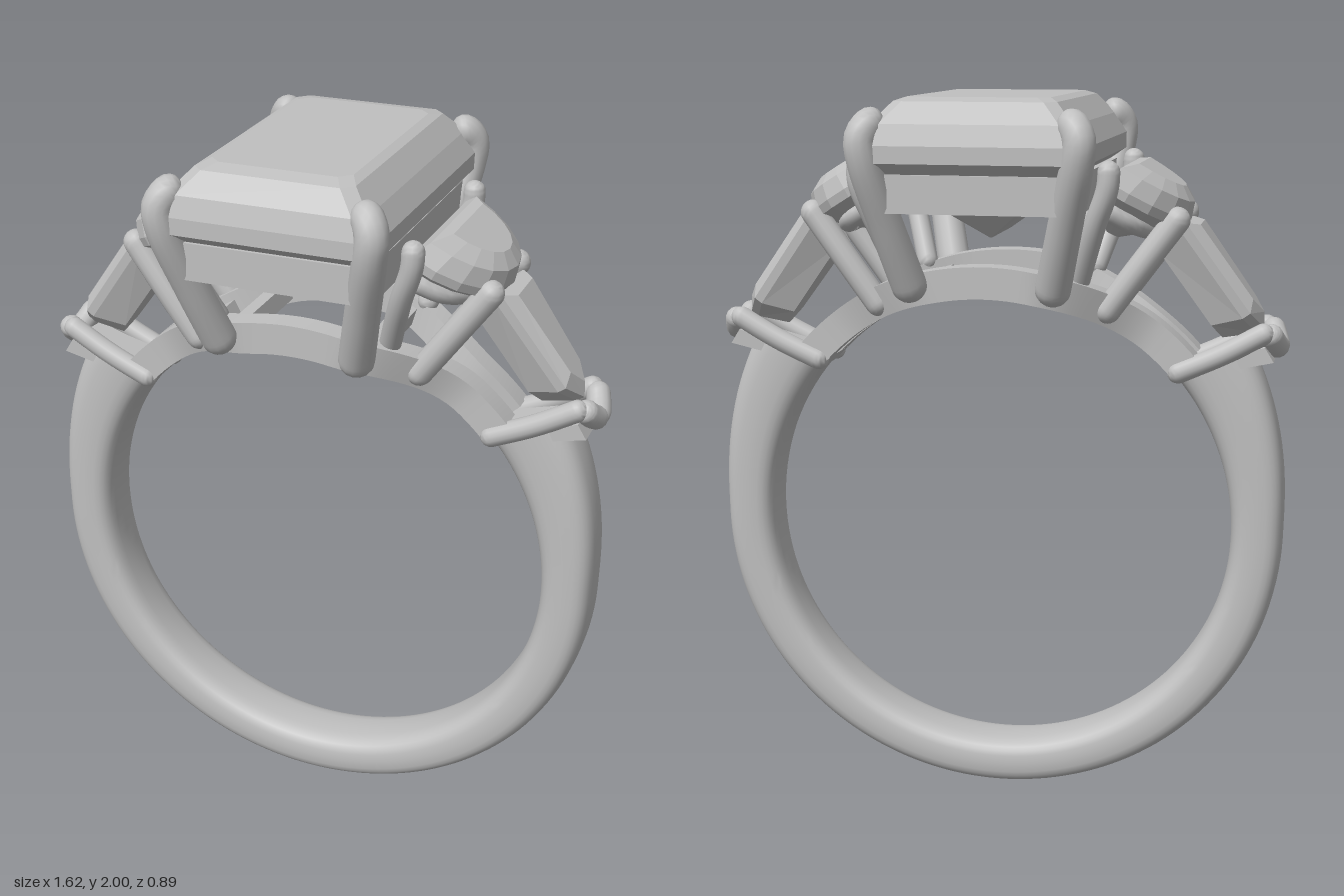
import * as THREE from 'three';
import { toCreasedNormals } from 'three/addons/utils/BufferGeometryUtils.js';

const metal = new THREE.MeshStandardMaterial({ color: 0xc0c0c0 });
metal.name = 'silver grey';
const V = (x, y, z) => new THREE.Vector3(x, y, z);
const CY = 0.8, INNER = 0.665; // finger hole centre height and radius
const DEG = Math.PI / 180;

// Skin a list of equal-length rings, closing both ends; faces are turned outward by signed volume
function loft(rings, crease) {
  const n = rings[0].length, pts = rings.flat(), idx = [];
  for (let i = 0; i < rings.length - 1; i++)
    for (let j = 0; j < n; j++) {
      const a = i * n + j, b = i * n + (j + 1) % n;
      idx.push(a, b, b + n, a, b + n, a + n);
    }
  [0, rings.length - 1].forEach((k, end) => {
    const c = pts.length, mid = V(0, 0, 0);
    rings[k].forEach(p => mid.addScaledVector(p, 1 / n));
    pts.push(mid);
    for (let j = 0; j < n; j++) {
      const a = k * n + j, b = k * n + (j + 1) % n;
      if (end) idx.push(c, a, b); else idx.push(c, b, a);
    }
  });
  let volume = 0;
  const cross = V(0, 0, 0), ref = pts[pts.length - 1];
  for (let i = 0; i < idx.length; i += 3) {
    const [a, b, c] = [0, 1, 2].map(k => pts[idx[i + k]].clone().sub(ref));
    volume += a.dot(cross.crossVectors(b, c));
  }
  if (volume < 0) idx.reverse();
  let geo = new THREE.BufferGeometry().setFromPoints(pts);
  geo.setIndex(idx);
  if (crease) geo = toCreasedNormals(geo, crease);
  else { geo = geo.toNonIndexed(); geo.computeVertexNormals(); }
  return geo;
}

// Round bar along a path, tapering from r0 to r1, with domed ends
function bar(points, r0, r1 = r0) {
  const curve = new THREE.CatmullRomCurve3(points), L = curve.getLength(), N = 40, S = 14;
  const ts = [...Array(N + 1)].map((_, i) => (1 - Math.cos(Math.PI * i / N)) / 2);
  const rings = ts.map(t => {
    const p = curve.getPointAt(t), d = curve.getTangentAt(t);
    const u = V(0, 0, 1).cross(d);
    if (u.length() < 0.1) u.set(1, 0, 0).cross(d);
    u.normalize();
    const w = d.clone().cross(u);
    const r = r0 + (r1 - r0) * t;
    const e = Math.min(1, Math.min(t, 1 - t) * L / r);
    const rr = Math.max(0.0005, r * Math.sqrt(1 - (1 - e) ** 2));
    return [...Array(S)].map((_, j) => {
      const a = j / S * 2 * Math.PI;
      return p.clone().addScaledVector(u, rr * Math.cos(a)).addScaledVector(w, rr * Math.sin(a));
    });
  });
  return loft(rings, 0.9);
}

// Shank, thickening towards the shoulders, with slanted ends
function bandGeometry() {
  const rings = [], N = 110, S = 28, pw = (v, e) => Math.sign(v) * Math.abs(v) ** e;
  for (let i = 0; i <= N; i++) {
    const ring = [];
    for (let j = 0; j < S; j++) {
      const a = j / S * 2 * Math.PI, f = 0.5 + 0.5 * pw(Math.cos(a), 0.65);
      const start = (47 + 8 * f) * DEG;
      const phi = start + (2 * Math.PI - 2 * start) * i / N;
      const outer = 0.797 + 0.012 * Math.sin(phi) ** 2 + 0.16 * Math.max(0, Math.cos(phi)) ** 1.5;
      const r = INNER + (outer - INNER) * f;
      ring.push(V(r * Math.sin(phi), CY + r * Math.cos(phi), 0.094 * pw(Math.sin(a), 0.6)));
    }
    rings.push(ring);
  }
  return loft(rings, 0.9);
}

// Arched under-rail that bows outward beneath the centre stone
function railGeometry(side) {
  const rings = [];
  for (let i = 0; i <= 48; i++) {
    const a = (42 + 96 * i / 48) * DEG, c = Math.cos(a), s = Math.sin(a);
    const z = 0.06 + 0.14 * (1 - THREE.MathUtils.smoothstep(Math.abs(c) * 0.71, 0.12, 0.45));
    rings.push([[INNER, -1], [0.752, -1], [0.752, 1], [INNER, 1]]
      .map(([r, k]) => V(r * c, CY + r * s, side * (z + k * 0.035))));
  }
  return loft(rings, 0.5);
}

// Rectangle with cut corners
const octagon = (x, z, y, c) => [[x, z - c], [x - c, z], [c - x, z], [-x, z - c],
  [-x, c - z], [c - x, -z], [x - c, -z], [x, c - z]].map(([a, b]) => V(a, y, b));

function centreStone() {
  return loft([octagon(0.19, 0.31, 2, 0.03), octagon(0.215, 0.36, 1.99, 0.03),
    octagon(0.265, 0.41, 1.935, 0.03), octagon(0.3, 0.425, 1.88, 0.03),
    octagon(0.3, 0.425, 1.835, 0.03), octagon(0.2, 0.32, 1.765, 0.02),
    octagon(0.004, 0.13, 1.62, 0.002)]);
}

// Maps local (along the slope, outward normal, z) to a tilted seat on one shoulder
const tilted = (s, ox, oy, dx, dy) => {
  const l = Math.hypot(dx, dy);
  return (u, v, z) => V(s * (ox + (u * dx - v * dy) / l), oy + (u * dy + v * dx) / l, z);
};

function halfMoon(place, k, u0, v) {
  return [...Array(11)].map((_, i) => {
    const a = (i / 10 - 0.5) * Math.PI;
    return place(u0 + 0.24 * k * Math.cos(a), v, 0.225 * k * Math.sin(a));
  });
}

// Tapered stone outline with a pointed outer end
const kite = (place, k, v) => [[0.01, 0.1], [0.31, 0.07], [0.37, 0], [0.31, -0.07], [0.01, -0.1]]
  .map(([u, z]) => place(0.16 + (u - 0.16) * (0.5 + 0.5 * k), v, z * k));

export function createModel() {
  const ring = new THREE.Group();
  ring.name = 'ring';
  const add = (geo, name) => {
    const m = new THREE.Mesh(geo, metal);
    m.name = name;
    ring.add(m);
    return m;
  };

  add(bandGeometry(), 'band');
  add(centreStone(), 'centreStone');

  // Rectangular basket frame under the centre stone
  const rect = (x, z) => [[-x, -z], [x, -z], [x, z], [-x, z]].map(([a, b]) => new THREE.Vector2(a, b));
  const frame = new THREE.Shape(rect(0.275, 0.39));
  frame.holes.push(new THREE.Path(rect(0.235, 0.35)));
  const frameGeo = new THREE.ExtrudeGeometry(frame, { depth: 0.1, bevelEnabled: false });
  frameGeo.rotateX(-Math.PI / 2).translate(0, 1.705, 0);
  add(frameGeo, 'basketFrame');

  for (const z of [-1, 1]) add(railGeometry(z), 'underRail');

  for (const s of [-1, 1]) {
    // Side stones
    const moon = tilted(s, 0.315, 1.775, 0.2, -0.115);
    add(loft([halfMoon(moon, 0.55, 0.05, 0.085), halfMoon(moon, 0.85, 0.02, 0.06),
      halfMoon(moon, 1, 0, 0.015), halfMoon(moon, 1, 0, -0.01),
      halfMoon(moon, 0.15, 0.06, -0.13)]), 'halfMoonStone');
    const slope = tilted(s, 0.52, 1.675, 0.225, -0.31);
    add(loft([kite(slope, 0.65, 0.025), kite(slope, 1, 0), kite(slope, 1, -0.025),
      kite(slope, 0.6, -0.11)]), 'taperedStone');

    // Curved seat under the half-moon stone
    const seat = [-80, -45, 0, 45, 80].map(d =>
      moon(0.17 * Math.cos(d * DEG), -0.06, 0.19 * Math.sin(d * DEG)));
    add(bar(seat, 0.026), 'halfMoonSeat');

    // Shoulder block closing the band end
    const block = [[0.475, 1.265], [0.5, 1.235], [0.77, 1.295], [0.745, 1.335]];
    add(loft([-0.088, 0.088].map(z => block.map(([x, y]) => V(s * x, y, z)))), 'shoulderBlock');

    for (const z of [-1, 1]) {
      add(bar([V(s * 0.185, 1.46, z * 0.245), V(s * 0.235, 1.66, z * 0.33),
        V(s * 0.278, 1.84, z * 0.398), V(s * 0.283, 1.9, z * 0.402),
        V(s * 0.262, 1.935, z * 0.382), V(s * 0.235, 1.945, z * 0.36)], 0.049, 0.043), 'centreProng');
      add(bar([V(s * 0.24, 1.49, z * 0.14), V(s * 0.3, 1.67, z * 0.225),
        V(s * 0.335, 1.77, z * 0.25), V(s * 0.338, 1.84, z * 0.25)], 0.03), 'innerProng');
      add(bar([V(s * 0.3, 1.4, z * 0.125), V(s * 0.41, 1.55, z * 0.125),
        V(s * 0.525, 1.705, z * 0.118)], 0.036), 'outerProng');
      // V-shaped tip guard
      add(bar([V(s * 0.765, 1.385, z * 0.08), V(s * 0.63, 1.31, z * 0.082),
        V(s * 0.485, 1.245, z * 0.082)], 0.03), 'guardSideBar');
      add(bar([V(s * 0.75, 1.385, z * 0.085), V(s * 0.768, 1.345, z * 0.04),
        V(s * 0.782, 1.315, z * -0.012)], 0.033), 'guardTipBar');
    }

    // Cross bars joining the two rails
    for (const [x, y, half] of [[0.19, 1.475, 0.2], [0.32, 1.425, 0.11]]) {
      const b = add(new THREE.BoxGeometry(0.05, 0.05, half * 2), 'crossBar');
      b.position.set(s * x, y, 0);
      b.rotation.z = -s * Math.atan2(x, y - CY);
    }
  }
  return ring;
}
